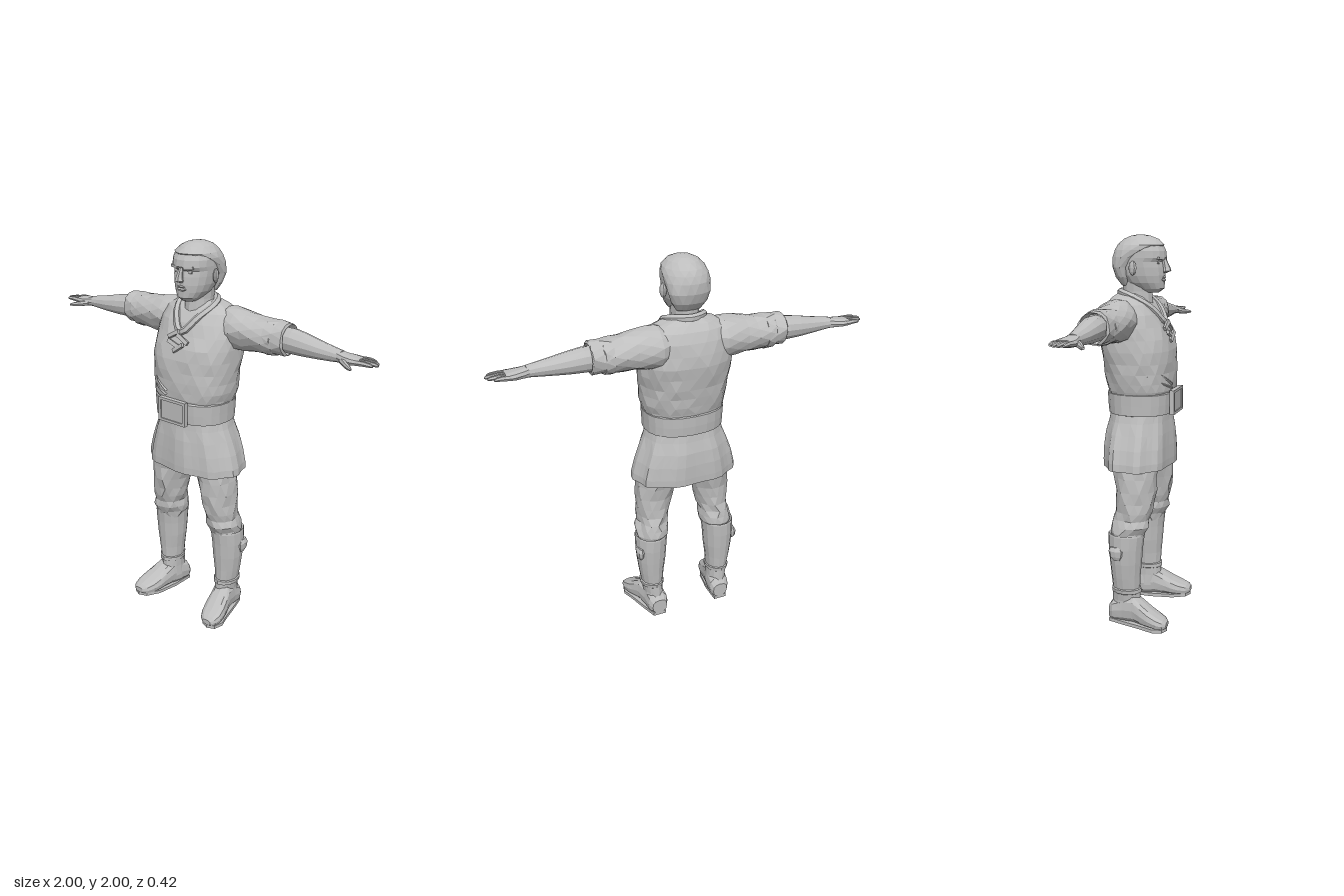
import * as THREE from 'three';

const grey = new THREE.MeshStandardMaterial({ color: 0xbebebe });
grey.name = 'plain grey';

// repeatable scatter in -1..1, used for cloth wrinkles
const scatter = (i, j) => {
  const v = Math.sin(i * 127.1 + j * 311.7) * 43758.5453;
  return (v - Math.floor(v)) * 2 - 1;
};

// Closed skin over rings [t, centreA, centreB, radiusA, radiusB] along an axis.
// a,b mean: axis y -> x,z   axis x -> z,y   axis z -> y,x
function loft(axis, rings, { n = 14, square = 1, wrinkle = 0, fold = () => 1 } = {}) {
  const place = {
    y: (t, a, b) => new THREE.Vector3(a, t, b),
    x: (t, a, b) => new THREE.Vector3(t, b, a),
    z: (t, a, b) => new THREE.Vector3(b, a, t),
  }[axis];
  const bend = v => Math.sign(v) * Math.abs(v) ** square;
  const pts = rings.map(([t, ca, cb, ra, rb], i) => Array.from({ length: n }, (_, j) => {
    const ang = (j + 0.5 * (i % 2) * (wrinkle ? 1 : 0)) / n * Math.PI * 2;
    const k = fold(ang, t), w = wrinkle * scatter(i, j);
    return place(t, ca + (ra * k + w) * bend(Math.cos(ang)), cb + (rb * k + w) * bend(Math.sin(ang)));
  }));
  const out = [];
  const tri = (...v) => v.forEach(p => out.push(p.x, p.y, p.z));
  const mid = r => place(r[0], r[1], r[2]);
  for (let j = 0; j < n; j++) {
    const k = (j + 1) % n, last = rings.length - 1;
    for (let i = 0; i < last; i++) {
      const [a, b, c, d] = [pts[i][j], pts[i + 1][j], pts[i + 1][k], pts[i][k]];
      if (i % 2) { tri(a, b, c); tri(a, c, d); } else { tri(a, b, d); tri(b, c, d); }
    }
    tri(mid(rings[0]), pts[0][j], pts[0][k]);
    tri(mid(rings[last]), pts[last][k], pts[last][j]);
  }
  const g = new THREE.BufferGeometry();
  g.setAttribute('position', new THREE.Float32BufferAttribute(out, 3));
  return g;
}

// ring given by half width, front z and back z
const ring = (y, w, front, back, x = 0) => [y, x, (front + back) / 2, w, (front - back) / 2];

function mirrored(geo) {
  const g = geo.clone(), p = g.attributes.position;
  const v = [0, 1, 2].map(() => new THREE.Vector3());
  for (let i = 0; i < p.count; i += 3) {
    v.forEach((q, k) => q.fromBufferAttribute(p, i + k));
    [v[0], v[2], v[1]].forEach((q, k) => p.setXYZ(i + k, -q.x, q.y, q.z));
  }
  return g;
}

export function createModel() {
  const model = new THREE.Group();
  model.name = 'tunicFigure';
  const add = (name, geo) => {
    const g = geo.index ? geo.toNonIndexed() : geo;
    g.computeVertexNormals();
    const m = new THREE.Mesh(g, grey);
    m.name = name;
    model.add(m);
  };
  const pair = (name, geo) => {
    const g = geo.index ? geo.toNonIndexed() : geo;
    add('left' + name, g);
    add('right' + name, mirrored(g));
  };
  const box = (w, h, d, x, y, z, rx = 0, ry = 0, rz = 0) =>
    new THREE.BoxGeometry(w, h, d).rotateX(rx).rotateY(ry).rotateZ(rz).translate(x, y, z);
  const tube = (pts, r, closed = false, sides = 6) =>
    new THREE.TubeGeometry(new THREE.CatmullRomCurve3(pts.map(p => new THREE.Vector3(...p)), closed), 24, r, sides, closed);

  // head, face and hair
  add('head', loft('y', [
    ring(1.715, 0.035, 0.085, 0.0), ring(1.735, 0.06, 0.112, -0.05), ring(1.765, 0.082, 0.113, -0.09),
    ring(1.80, 0.095, 0.115, -0.12), ring(1.84, 0.102, 0.112, -0.135), ring(1.868, 0.105, 0.106, -0.14),
    ring(1.888, 0.106, 0.122, -0.14), ring(1.92, 0.106, 0.118, -0.135), ring(1.95, 0.096, 0.103, -0.12),
    ring(1.98, 0.066, 0.065, -0.085), ring(1.993, 0.03, 0.03, -0.045)], { n: 18, square: 0.9 }));
  add('hair', loft('y', [
    ring(1.75, 0.065, -0.05, -0.105), ring(1.79, 0.092, -0.035, -0.135), ring(1.84, 0.107, -0.025, -0.152),
    ring(1.89, 0.113, 0.03, -0.152), ring(1.925, 0.112, 0.085, -0.143), ring(1.95, 0.103, 0.112, -0.128),
    ring(1.978, 0.076, 0.082, -0.1), ring(1.994, 0.042, 0.04, -0.06), ring(2.0, 0.012, 0.005, -0.025)],
    { n: 16, wrinkle: 0.002 }));
  add('nose', loft('y', [ring(1.812, 0.012, 0.125, 0.1), ring(1.822, 0.022, 0.15, 0.1),
    ring(1.835, 0.015, 0.147, 0.1), ring(1.885, 0.009, 0.122, 0.1)], { n: 6 }));
  add('lips', loft('y', [ring(1.768, 0.018, 0.115, 0.09), ring(1.778, 0.032, 0.121, 0.085),
    ring(1.785, 0.032, 0.115, 0.085), ring(1.792, 0.028, 0.122, 0.085), ring(1.798, 0.012, 0.116, 0.09)], { n: 10 }));
  pair('Brow', box(0.05, 0.012, 0.016, 0.043, 1.884, 0.106, 0, 0.3, 0.08));
  pair('Eye', new THREE.SphereGeometry(0.013, 8, 6).scale(1.4, 0.7, 0.7).translate(0.042, 1.864, 0.093));
  pair('Ear', new THREE.SphereGeometry(0.03, 8, 6).scale(0.4, 1.2, 0.8).rotateY(0.3).translate(0.108, 1.838, -0.02));
  add('neck', loft('y', [ring(1.56, 0.08, 0.105, -0.1), ring(1.66, 0.073, 0.055, -0.11),
    ring(1.72, 0.07, 0.05, -0.105), ring(1.79, 0.075, 0.05, -0.105)], { n: 12 }));

  // tunic body
  add('tunicBody', loft('y', [
    ring(1.18, 0.2, 0.155, -0.15), ring(1.23, 0.215, 0.17, -0.165), ring(1.27, 0.222, 0.172, -0.172),
    ring(1.32, 0.225, 0.172, -0.182), ring(1.37, 0.23, 0.17, -0.19), ring(1.43, 0.236, 0.164, -0.2),
    ring(1.49, 0.238, 0.15, -0.206), ring(1.55, 0.236, 0.122, -0.202), ring(1.61, 0.228, 0.088, -0.19),
    ring(1.66, 0.2, 0.055, -0.17), ring(1.69, 0.15, 0.025, -0.145), ring(1.71, 0.085, 0.0, -0.12)],
    { n: 22, square: 0.85, wrinkle: 0.005 }));
  add('collar', tube([[0, 1.715, -0.115], [0.075, 1.71, -0.075], [0.103, 1.69, -0.01], [0.07, 1.64, 0.065],
    [0, 1.565, 0.115], [-0.07, 1.64, 0.065], [-0.103, 1.69, -0.01], [-0.075, 1.71, -0.075]], 0.02, true));
  [[-0.03, 1.555, 0.5], [0.03, 1.54, -0.5], [-0.02, 1.51, -0.35], [0.012, 1.495, 0.6]].forEach(([x, y, a], i) =>
    add('collarLace' + (i + 1), box(0.075, 0.02, 0.014, x, y, 0.137 + (1.55 - y) * 0.3, -0.35, 0, a)));
  [[1.26, 1.36], [1.24, 1.31]].forEach(([low, high], i) =>
    add('tunicFold' + (i + 1), tube([[-0.05, low, 0.166], [-0.12, (low + high) / 2 - 0.01, 0.145], [-0.195, high, 0.075]], 0.012, false, 4)));

  // belt and buckle
  add('belt', loft('y', [ring(1.105, 0.19, 0.15, -0.15), ring(1.11, 0.208, 0.172, -0.163),
    ring(1.16, 0.21, 0.176, -0.168), ring(1.215, 0.213, 0.178, -0.17), ring(1.222, 0.2, 0.165, -0.155)],
    { n: 24, square: 0.85 }));
  add('buckle', box(0.16, 0.115, 0.016, 0, 1.168, 0.179));
  [-1, 1].forEach(s => {
    add(s < 0 ? 'buckleRightBar' : 'buckleLeftBar', box(0.016, 0.125, 0.024, s * 0.08, 1.168, 0.181));
    add(s < 0 ? 'buckleLowerBar' : 'buckleUpperBar', box(0.17, 0.014, 0.024, 0, 1.168 + s * 0.056, 0.181));
  });

  // flared skirt with pleats and a hollow underside
  const pleat = (a, y) => 1 + 0.035 * Math.sin(a * 9 + 0.8) * Math.min(1, (1.15 - y) / 0.15);
  add('tunicSkirt', loft('y', [
    ring(0.96, 0.18, 0.12, -0.13), ring(0.845, 0.25, 0.15, -0.16), ring(0.832, 0.276, 0.167, -0.178),
    ring(0.87, 0.273, 0.168, -0.18), ring(0.94, 0.255, 0.166, -0.18), ring(1.01, 0.23, 0.162, -0.174),
    ring(1.07, 0.208, 0.155, -0.16), ring(1.13, 0.192, 0.15, -0.15)],
    { n: 36, square: 0.85, fold: pleat }));

  // sleeves with a rolled, hollow cuff
  pair('Sleeve', loft('x', [
    [0.10, -0.075, 1.575, 0.085, 0.095], [0.17, -0.076, 1.585, 0.108, 0.107], [0.23, -0.074, 1.583, 0.108, 0.104],
    [0.29, -0.072, 1.582, 0.103, 0.094], [0.35, -0.072, 1.58, 0.096, 0.09], [0.41, -0.074, 1.578, 0.089, 0.086],
    [0.46, -0.077, 1.578, 0.082, 0.084], [0.51, -0.079, 1.58, 0.077, 0.083], [0.515, -0.079, 1.58, 0.067, 0.072],
    [0.48, -0.079, 1.58, 0.06, 0.062]], { n: 14, wrinkle: 0.005 }));
  pair('SleeveCuff', loft('x', [[0.40, -0.074, 1.57, 0.08, 0.075], [0.405, -0.075, 1.575, 0.092, 0.088],
    [0.45, -0.077, 1.576, 0.087, 0.086], [0.455, -0.077, 1.578, 0.078, 0.08]], { n: 12, wrinkle: 0.003 }));
  pair('Forearm', loft('x', [
    [0.44, -0.08, 1.577, 0.058, 0.062], [0.54, -0.078, 1.577, 0.06, 0.062], [0.61, -0.075, 1.572, 0.056, 0.055],
    [0.69, -0.07, 1.566, 0.047, 0.044], [0.76, -0.067, 1.562, 0.037, 0.035], [0.81, -0.066, 1.56, 0.034, 0.028]], { n: 12 }));

  // hands
  pair('Palm', loft('x', [
    [0.79, -0.066, 1.56, 0.032, 0.028], [0.83, -0.066, 1.557, 0.042, 0.024],
    [0.87, -0.068, 1.556, 0.05, 0.021], [0.91, -0.07, 1.556, 0.047, 0.016]], { n: 10, square: 0.8 }));
  [[-0.106, 0.965], [-0.082, 0.99], [-0.058, 1.0], [-0.034, 0.985]].forEach(([z, tip], i) =>
    pair('Finger' + (i + 1), loft('x', [[0.89, z, 1.556, 0.012, 0.014], [(0.89 + tip) / 2, z, 1.559, 0.012, 0.012],
      [tip - 0.012, z, 1.558, 0.01, 0.009], [tip, z, 1.556, 0.005, 0.005]], { n: 6 })));
  pair('Thumb', loft('x', [[0.82, -0.045, 1.552, 0.022, 0.016], [0.86, -0.012, 1.546, 0.017, 0.015],
    [0.89, 0.008, 1.542, 0.013, 0.012], [0.91, 0.022, 1.54, 0.006, 0.006]], { n: 7 }));

  // baggy trousers
  pair('TrouserLeg', loft('y', [
    ring(0.46, 0.075, 0.06, -0.10, 0.195), ring(0.50, 0.084, 0.075, -0.115, 0.19), ring(0.535, 0.088, 0.092, -0.108, 0.185),
    ring(0.57, 0.08, 0.088, -0.095, 0.18), ring(0.61, 0.083, 0.108, -0.09, 0.175), ring(0.66, 0.087, 0.112, -0.09, 0.17),
    ring(0.72, 0.096, 0.117, -0.097, 0.16), ring(0.79, 0.105, 0.122, -0.107, 0.148), ring(0.86, 0.112, 0.125, -0.118, 0.135),
    ring(0.95, 0.115, 0.12, -0.13, 0.12)], { n: 14, wrinkle: 0.008 }));

  // boots
  pair('BootShaft', loft('y', [
    ring(0.07, 0.056, 0.04, -0.108, 0.192), ring(0.13, 0.053, 0.047, -0.104, 0.193), ring(0.19, 0.058, 0.044, -0.1, 0.197),
    ring(0.26, 0.067, 0.047, -0.106, 0.2), ring(0.34, 0.078, 0.054, -0.114, 0.2), ring(0.42, 0.084, 0.06, -0.12, 0.2),
    ring(0.487, 0.087, 0.068, -0.122, 0.197), ring(0.497, 0.085, 0.066, -0.12, 0.197), ring(0.485, 0.07, 0.05, -0.105, 0.197)],
    { n: 14 }));
  pair('BootPatch', loft('y', [ring(0.365, 0.012, -0.035, -0.075, 0.272), ring(0.385, 0.018, -0.02, -0.095, 0.273),
    ring(0.415, 0.02, -0.015, -0.1, 0.274), ring(0.435, 0.012, -0.03, -0.09, 0.272)], { n: 8 }));
  pair('AnkleStrap', loft('y', [ring(0.17, 0.056, 0.045, -0.1, 0.197), ring(0.175, 0.064, 0.054, -0.105, 0.197),
    ring(0.195, 0.066, 0.052, -0.107, 0.198), ring(0.2, 0.057, 0.042, -0.1, 0.198)], { n: 12 }));
  pair('BootFoot', loft('z', [
    [-0.118, 0.055, 0.186, 0.04, 0.042], [-0.095, 0.068, 0.188, 0.06, 0.056], [-0.04, 0.08, 0.193, 0.072, 0.057],
    [0.02, 0.088, 0.205, 0.074, 0.059], [0.065, 0.072, 0.217, 0.06, 0.063], [0.11, 0.056, 0.228, 0.047, 0.067],
    [0.155, 0.043, 0.238, 0.036, 0.064], [0.19, 0.036, 0.245, 0.027, 0.05], [0.208, 0.034, 0.249, 0.014, 0.026]],
    { n: 12, square: 0.75 }));
  // sole outline following the outward turned foot
  const sole = new THREE.Shape([[0.15, -0.118], [0.222, -0.118], [0.25, -0.03], [0.278, 0.07], [0.302, 0.14], [0.29, 0.19],
    [0.25, 0.208], [0.205, 0.19], [0.168, 0.12], [0.15, 0.0]].map(p => new THREE.Vector2(...p)));
  pair('BootSole', new THREE.ExtrudeGeometry(sole, { depth: 0.018, bevelEnabled: false }).rotateX(Math.PI / 2).translate(0, 0.018, 0));

  return model;
}
